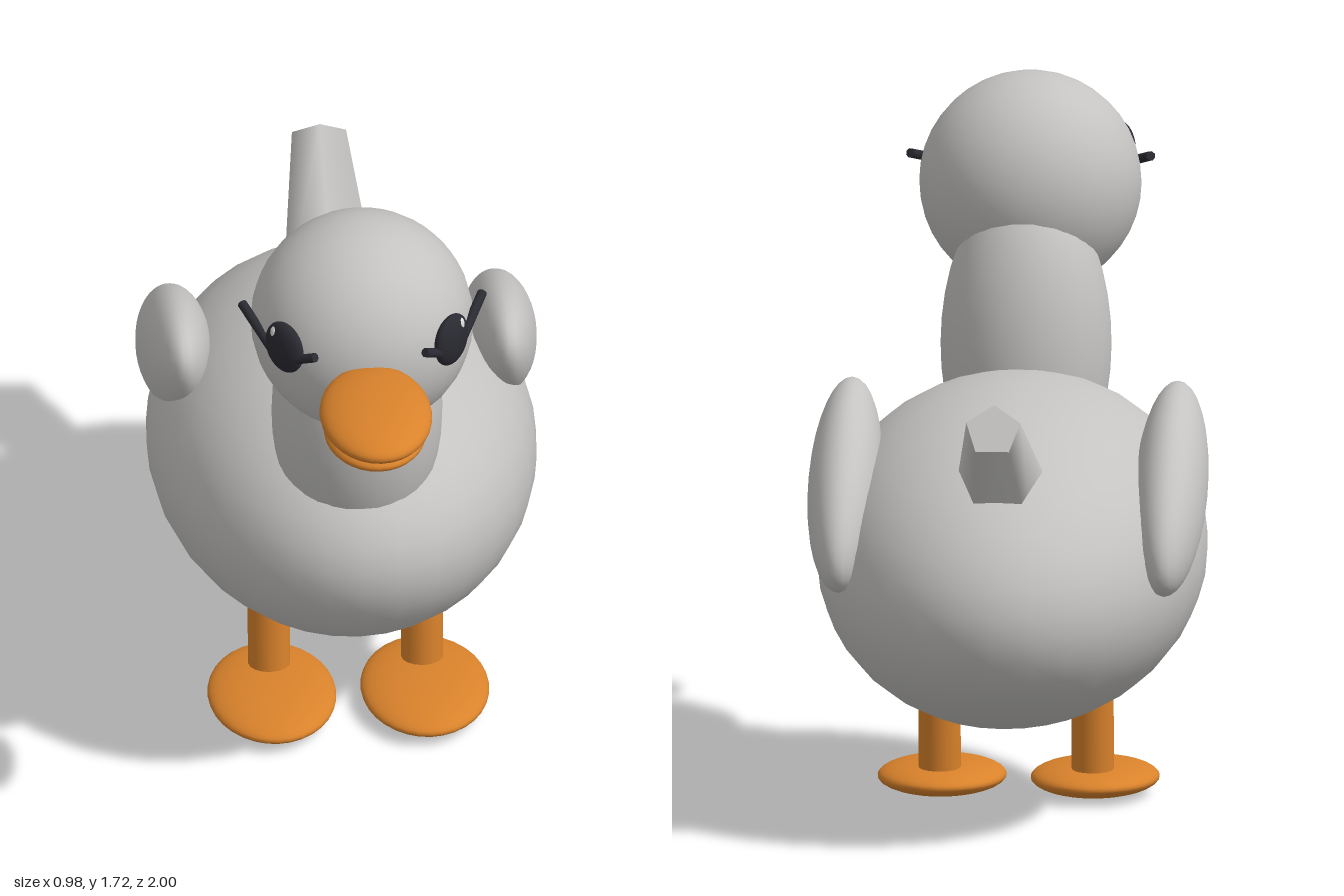
import * as THREE from 'three';

const mat = (name, color) => {
  const m = new THREE.MeshStandardMaterial({ color });
  m.name = name;
  return m;
};

export function createModel() {
  const model = new THREE.Group();
  model.name = 'duck';
  const feather = mat('feather grey', 0xc4c3c1);
  const orange = mat('beak orange', 0xd9822b);
  const dark = mat('eye black', 0x2a2a32);
  const glint = mat('eye glint', 0xd8d8d8);

  const add = (name, geometry, material) => {
    const mesh = new THREE.Mesh(geometry, material);
    mesh.name = name;
    model.add(mesh);
    return mesh;
  };

  // Sphere stretched to the given half sizes
  const ellipsoid = (name, material, pos, radii, tilt = 0, turn = 0) => {
    const geometry = new THREE.SphereGeometry(1, 32, 20).scale(...radii);
    const mesh = add(name, geometry, material);
    mesh.position.set(...pos);
    mesh.rotation.set(tilt, turn, 0);
    return mesh;
  };

  // Round rod from point a to point b
  const rod = (name, material, a, b, radius, sides = 16) => {
    const start = new THREE.Vector3(...a), end = new THREE.Vector3(...b);
    const axis = end.clone().sub(start);
    const mesh = add(name, new THREE.CylinderGeometry(radius, radius, axis.length(), sides), material);
    mesh.position.copy(start).add(end).multiplyScalar(0.5);
    mesh.quaternion.setFromUnitVectors(new THREE.Vector3(0, 1, 0), axis.normalize());
    return mesh;
  };

  // Body, neck and head
  ellipsoid('body', feather, [0, 0.645, -0.26], [0.478, 0.395, 0.745], -0.14);
  ellipsoid('neck', feather, [0, 1.07, 0.22], [0.21, 0.4, 0.21], 0.08);
  ellipsoid('head', feather, [0, 1.445, 0.375], [0.273, 0.273, 0.273]);

  // Five-sided tail, narrowing up and back to a blunt end
  const tailLength = 0.5;
  const tailGeometry = new THREE.CylinderGeometry(0.07, 0.132, tailLength, 5);
  tailGeometry.translate(0, -tailLength / 2, 0);
  const tail = add('tail', tailGeometry, feather);
  tail.position.set(0, 1.067, -0.958);
  tail.rotation.x = -0.96;

  // Beak
  ellipsoid('upperBeak', orange, [0, 1.455, 0.8], [0.138, 0.049, 0.2]);
  ellipsoid('lowerBeak', orange, [0, 1.384, 0.77], [0.125, 0.038, 0.165]);

  // Paired parts
  for (const [side, s] of [['left', 1], ['right', -1]]) {
    ellipsoid(side + 'Wing', feather, [s * 0.4, 0.83, -0.424], [0.09, 0.149, 0.372], -0.517);
    rod(side + 'Leg', orange, [s * 0.188, 0.045, -0.127], [s * 0.188, 0.4, -0.151], 0.052);
    ellipsoid(side + 'Foot', orange, [s * 0.188, 0.042, -0.045], [0.158, 0.041, 0.21]);

    // Flat eye facing outward, with a glint and two lashes
    ellipsoid(side + 'Eye', dark, [s * 0.205, 1.497, 0.555], [0.06, 0.07, 0.026], 0, s * 0.85);
    ellipsoid(side + 'EyeGlint', glint, [s * 0.222, 1.533, 0.542], [0.017, 0.022, 0.017]);
    rod(side + 'OuterLash', dark, [s * 0.295, 1.51, 0.38], [s * 0.225, 1.465, 0.54], 0.012, 8);
    rod(side + 'InnerLash', dark, [s * 0.135, 1.51, 0.625], [s * 0.21, 1.462, 0.565], 0.012, 8);
  }

  return model;
}
